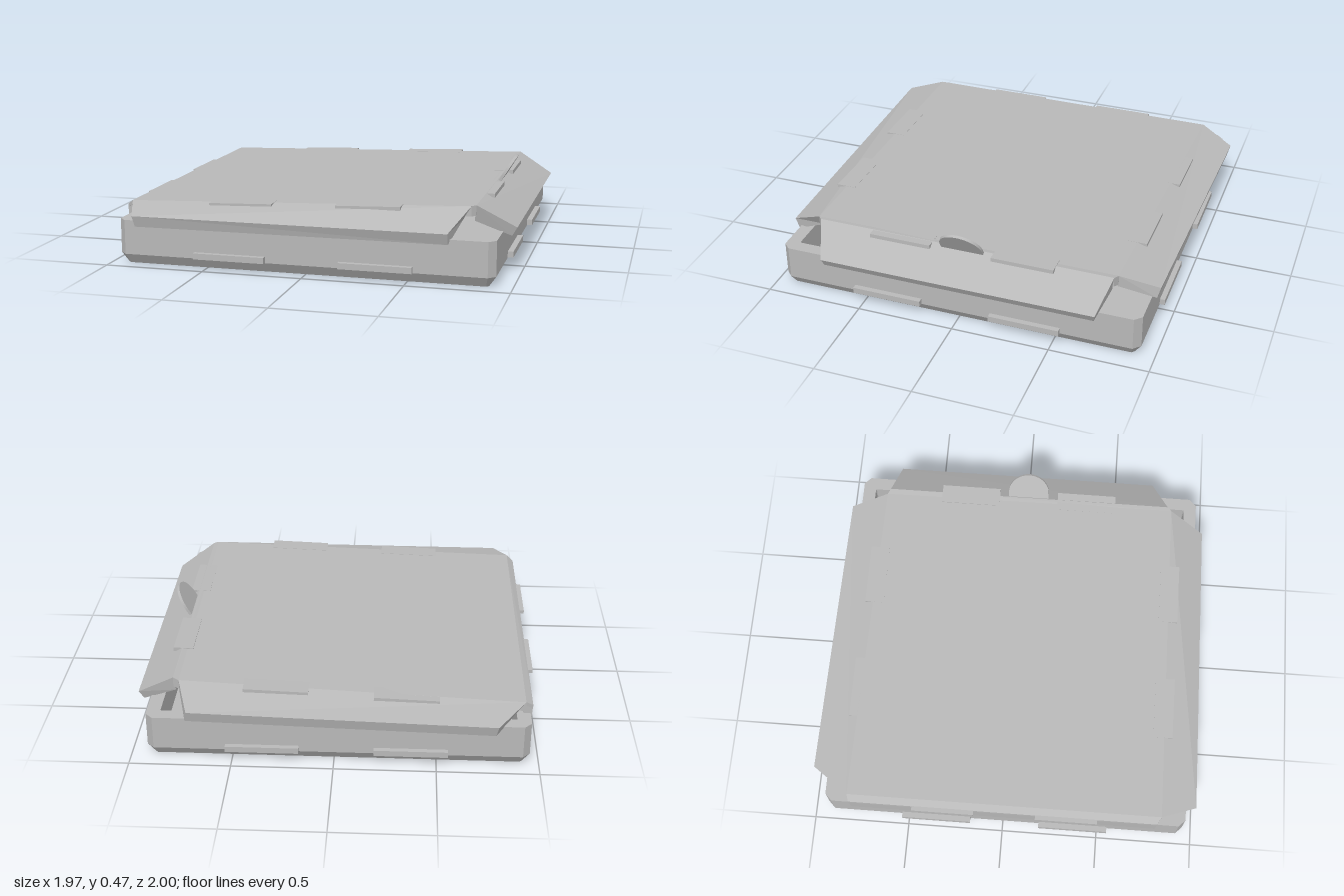
import * as THREE from 'three';

const card = new THREE.MeshStandardMaterial({ color: 0xb8b8b8 });
card.name = 'grey card';

// Flat-shaded mesh from a list of quads
function quadMesh(name, quads) {
  const pos = [];
  for (const [a, b, c, d] of quads) pos.push(...a, ...b, ...c, ...a, ...c, ...d);
  const g = new THREE.BufferGeometry();
  g.setAttribute('position', new THREE.Float32BufferAttribute(pos, 3));
  g.computeVertexNormals();
  const m = new THREE.Mesh(g, card);
  m.name = name;
  return m;
}

// Thick sheet: upper corners run counterclockwise seen from outside, lower ones match them
function slab(name, up, low) {
  const quads = [up, [...low].reverse()];
  for (let i = 0; i < 4; i++) {
    const j = (i + 1) % 4;
    quads.push([up[i], low[i], low[j], up[j]]);
  }
  return quadMesh(name, quads);
}

function box(name, size, position, tilt = 0) {
  const m = new THREE.Mesh(new THREE.BoxGeometry(...size), card);
  m.name = name;
  m.position.set(...position);
  m.rotation.z = tilt;
  return m;
}

const CX = -0.017, CZ = 0.01, HX = 0.938, HZ = 0.94;

// Rectangle with cut corners, counterclockwise seen from above
function ring(inset, cut, y) {
  const x = HX - inset, z = HZ - inset;
  return [[-x + cut, z], [x - cut, z], [x, z - cut], [x, -z + cut],
    [x - cut, -z], [-x + cut, -z], [-x, -z + cut], [-x, z - cut]]
    .map(([px, pz]) => [CX + px, y, CZ + pz]);
}

// Open tray with a bevelled foot, a wide rim and a floor
function makeTray() {
  const rings = [ring(0.035, 0.012, 0), ring(0, 0.035, 0.05), ring(0, 0.035, 0.222),
    ring(0.068, 0.004, 0.222), ring(0.068, 0.004, 0.05)];
  const quads = [];
  for (let k = 0; k < rings.length - 1; k++) {
    for (let i = 0; i < 8; i++) {
      const j = (i + 1) % 8;
      quads.push([rings[k][i], rings[k][j], rings[k + 1][j], rings[k + 1][i]]);
    }
  }
  const cap = (r) => [[r[0], r[1], r[2], r[3]], [r[0], r[3], r[4], r[7]], [r[4], r[5], r[6], r[7]]];
  quads.push(...cap(rings[0]).map((q) => q.reverse()), ...cap(rings[4]));
  return quadMesh('tray', quads);
}

export function createModel() {
  const model = new THREE.Group();
  model.name = 'foldedBox';

  const base = new THREE.Group();
  base.name = 'base';
  base.add(makeTray());
  // Two locking tabs on each side of the tray
  for (const s of [-1, 1]) {
    for (const c of [-0.375, 0.352]) {
      base.add(box('trayTab', [0.36, 0.03, 0.05], [c, 0.067, CZ + s * (HZ + 0.001)]));
      base.add(box('trayTab', [0.05, 0.03, 0.36], [CX + s * (HX + 0.003), 0.067, c === 0.352 ? 0.37 : -0.352]));
    }
  }
  model.add(base);

  const lid = new THREE.Group();
  lid.name = 'lid';
  // Corners of the sloping top panel
  const FL = [-0.93, 0.295, 0.82], FR = [0.78, 0.353, 0.8];
  const RF = [0.8, 0.355, 0.78], RB = [0.8, 0.35, -0.76];
  const BR = [0.77, 0.345, -0.775], BL = [-0.93, 0.29, -0.81];
  const drop = (p, d = 0.05) => [p[0], p[1] - d, p[2]];
  lid.add(slab('topPanel', [FL, FR, BR, BL], [FL, FR, BR, BL].map((p) => drop(p))));
  lid.add(slab('topPanelEdge', [FR, RF, RB, BR], [FR, RF, RB, BR].map((p) => drop(p))));

  // Flaps folding away from the top panel
  lid.add(slab('frontFlap',
    [[-0.86, 0.255, 1.0], [0.7, 0.255, 0.985], FR, FL],
    [[-0.85, 0.2, 0.985], [0.7, 0.2, 0.965], [0.74, 0.285, 0.79], [-0.9, 0.245, 0.81]]));
  lid.add(slab('backFlap',
    [BL, BR, [0.71, 0.28, -0.97], [-0.79, 0.26, -1.0]],
    [[-0.9, 0.24, -0.8], [0.77, 0.285, -0.77], [0.72, 0.225, -0.955], [-0.78, 0.205, -0.985]]));
  lid.add(slab('rightFlap',
    [RF, [0.985, 0.24, 0.7], [0.985, 0.24, -0.72], RB],
    [[0.79, 0.275, 0.76], [0.96, 0.197, 0.695], [0.96, 0.197, -0.71], [0.79, 0.275, -0.75]]));
  // Left flap bends over the tray wall
  const L = [-0.965, 0.27, 0.8], LB = [-0.965, 0.27, -0.8];
  lid.add(slab('leftFold', [FL, BL, LB, L], [FL, BL, LB, L].map((p) => drop(p, 0.02))));
  lid.add(slab('leftFlap',
    [L, LB, [-0.957, 0.13, -0.8], [-0.957, 0.13, 0.8]],
    [[-0.92, 0.27, 0.8], [-0.92, 0.27, -0.8], [-0.92, 0.13, -0.8], [-0.92, 0.13, 0.8]]));

  // Flat tabs standing out past the folds
  const slope = 0.034;
  const lidY = (x) => 0.295 + slope * (x + 0.93);
  for (const x of [-0.35, 0.29]) {
    lid.add(box('frontLidTab', [0.32, 0.02, 0.1], [x, lidY(x) - 0.009, 0.808], slope));
    lid.add(box('backLidTab', [0.32, 0.02, 0.1], [x, lidY(x) - 0.016, x < 0 ? -0.794 : -0.78], slope));
  }
  for (const z of [-0.31, 0.33]) {
    lid.add(box('rightLidTab', [0.1, 0.02, 0.32], [0.793, 0.342, z], slope));
    lid.add(box('leftLidTab', [0.06, 0.018, 0.32], [-0.957, 0.262, z]));
  }

  // Upright rounded closing tongue
  const arch = new THREE.Shape();
  arch.moveTo(0.11, -0.02);
  arch.lineTo(0.11, 0.05);
  arch.absarc(0, 0.05, 0.11, 0, Math.PI);
  arch.lineTo(-0.11, -0.02);
  const tongueGeo = new THREE.ExtrudeGeometry(arch, { depth: 0.014, bevelEnabled: false, curveSegments: 16 });
  tongueGeo.rotateY(Math.PI / 2);
  const tongue = new THREE.Mesh(tongueGeo, card);
  tongue.name = 'tongue';
  tongue.position.set(0.795, 0.335, 0.008);
  tongue.rotation.z = -0.55;
  lid.add(tongue);
  model.add(lid);
  return model;
}
